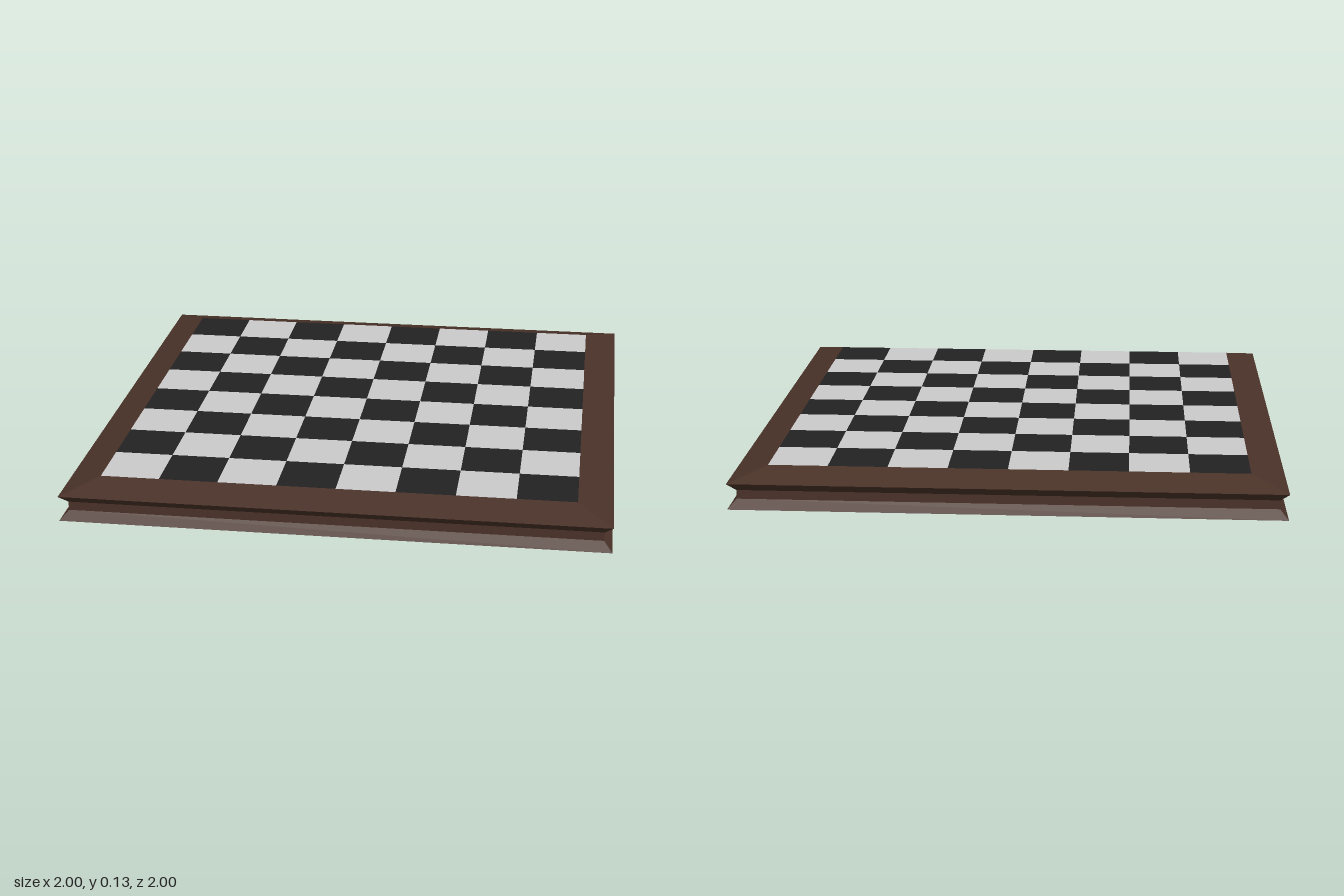
import * as THREE from 'three';
import { mergeGeometries } from 'three/addons/utils/BufferGeometryUtils.js';

const TOP = 0.13;      // height of the playing surface
const INNER = 0.872;   // half width of the playing field
const CELLS = 8;

// Square moulding: a profile of (half width, height) turned around four sides.
function squareLathe(profile) {
  const points = profile.map(([w, y]) => new THREE.Vector2(w * Math.SQRT2, y));
  const geometry = new THREE.LatheGeometry(points, 4, Math.PI / 4).toNonIndexed();
  geometry.computeVertexNormals();
  return geometry;
}

// All squares of one colour, parity 0 holding the back left corner.
function squares(parity) {
  const size = (2 * INNER) / CELLS;
  const tiles = [];
  for (let row = 0; row < CELLS; row++) {
    for (let col = 0; col < CELLS; col++) {
      if ((row + col) % 2 !== parity) continue;
      const tile = new THREE.PlaneGeometry(size, size).rotateX(-Math.PI / 2);
      tile.translate(-INNER + (col + 0.5) * size, TOP, -INNER + (row + 0.5) * size);
      tiles.push(tile);
    }
  }
  return mergeGeometries(tiles);
}

export function createModel() {
  const model = new THREE.Group();
  model.name = 'checkeredBoard';

  const add = (name, geometry, color) => {
    const mesh = new THREE.Mesh(geometry, new THREE.MeshStandardMaterial({ color }));
    mesh.name = name;
    model.add(mesh);
  };

  // Wooden frame with closed underside, grooved edge and bevelled rim
  add('frame', squareLathe([
    [0, 0], [1, 0], [0.97, 0.032], [0.97, 0.065], [1, 0.096], [INNER, TOP],
  ]), 0x4a3228);

  // Playing field
  add('darkSquares', squares(0), 0x222222);
  add('lightSquares', squares(1), 0xcccccc);

  return model;
}
